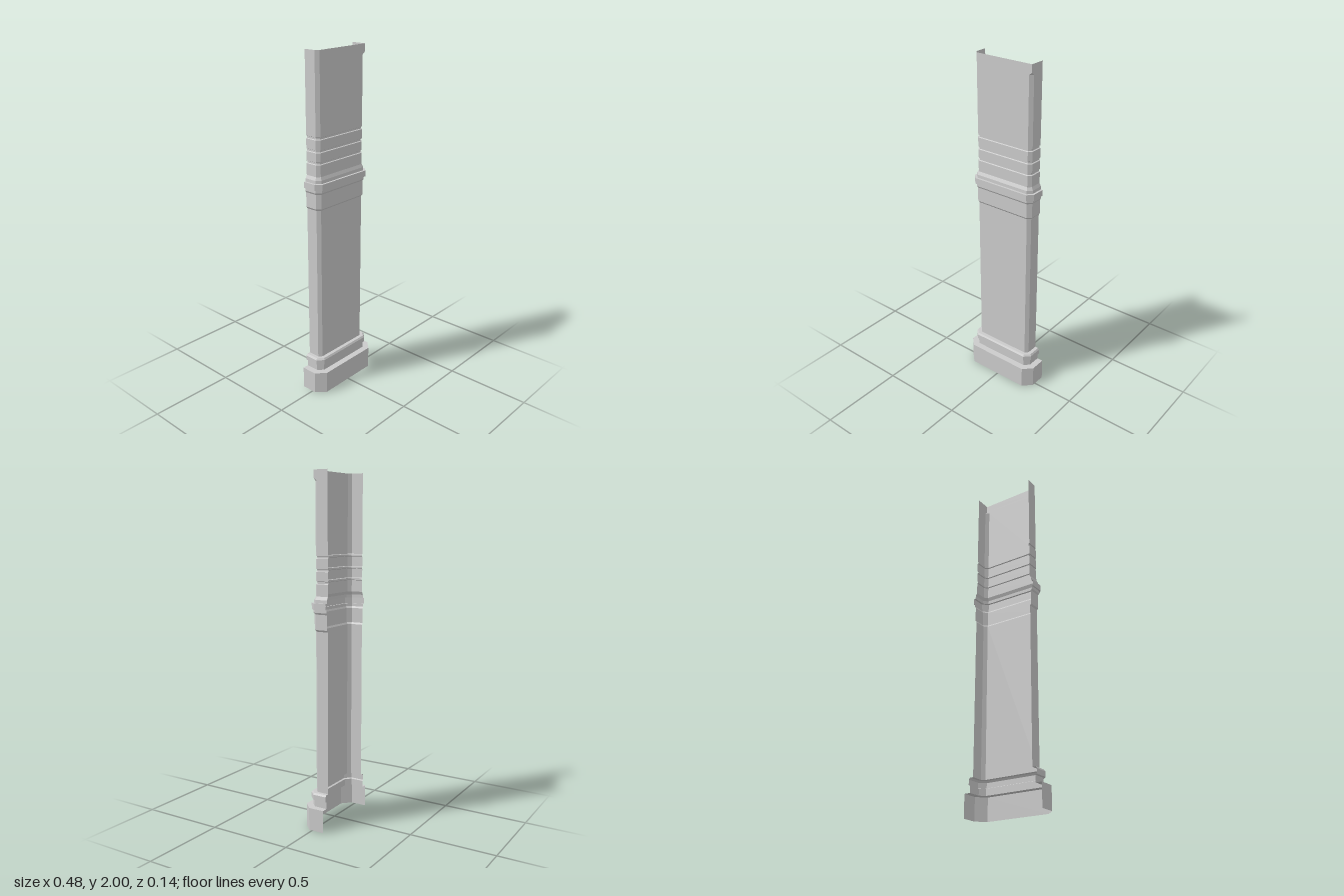
import * as THREE from 'three';

const BACK = -0.073;

// U-shaped section with 45-degree corners, offset outward by d.
function section(d, y, sharpLeft = false) {
  const w = 0.187 + d, zf = 0.015 + d, c = 0.018 + 0.586 * d;
  const cl = sharpLeft ? 0 : c;
  return [
    [-w, BACK], [-w, zf - c], [-w + c, zf],
    [w - cl, zf], [w, zf - cl], [w, BACK],
  ].map(([x, z]) => new THREE.Vector3(x, y, z));
}

// Open shell through a stack of [offset, height, sharpLeft] rows.
function shell(name, rows, material) {
  const rings = rows.map((r) => section(...r));
  const pos = [];
  const tri = new THREE.Triangle();
  const add = (a, b, c) => {
    if (tri.set(a, b, c).getArea() > 1e-9) pos.push(...a.toArray(), ...b.toArray(), ...c.toArray());
  };
  for (let i = 0; i < rings.length - 1; i++) {
    const lo = rings[i], hi = rings[i + 1];
    for (let j = 0; j < lo.length - 1; j++) {
      add(lo[j], lo[j + 1], hi[j + 1]);
      add(lo[j], hi[j + 1], hi[j]);
    }
  }
  const geo = new THREE.BufferGeometry();
  geo.setAttribute('position', new THREE.Float32BufferAttribute(pos, 3));
  geo.computeVertexNormals();
  const mesh = new THREE.Mesh(geo, material);
  mesh.name = name;
  return mesh;
}

export function createModel() {
  const group = new THREE.Group();
  group.name = 'pilaster';
  const mat = new THREE.MeshStandardMaterial({
    color: 0xcccccc, flatShading: true, side: THREE.DoubleSide,
  });
  const part = (name, rows) => group.add(shell(name, rows, mat));

  // Plinth with its top ledge
  part('plinth', [[0.055, 0], [0.055, 0.131], [0.018, 0.131]]);

  // Neck and rounded base moulding
  part('baseMoulding', [
    [0.018, 0.131], [0.018, 0.17], [0.028, 0.174], [0.028, 0.203], [0.021, 0.213], [0, 0.213],
  ]);

  part('lowerShaft', [[0, 0.213], [0, 1.135]]);

  // Collar with a projecting band and sloped shoulders
  part('collar', [
    [0, 1.135], [0.007, 1.145], [0.007, 1.23], [0.013, 1.24], [0.013, 1.257],
    [0.022, 1.257], [0.022, 1.292], [0.01, 1.292], [0.009, 1.31], [0, 1.328],
  ]);

  // Upper shaft with three narrow grooves; the left corner turns square at the top
  const upper = [[0, 1.328]];
  for (const y of [1.402, 1.469, 1.539]) {
    upper.push([0, y - 0.008], [-0.006, y - 0.005], [-0.006, y + 0.005], [0, y + 0.008]);
  }
  upper.push([0, 1.943], [0, 1.957, true], [0, 2, true]);
  part('upperShaft', upper);

  return group;
}
